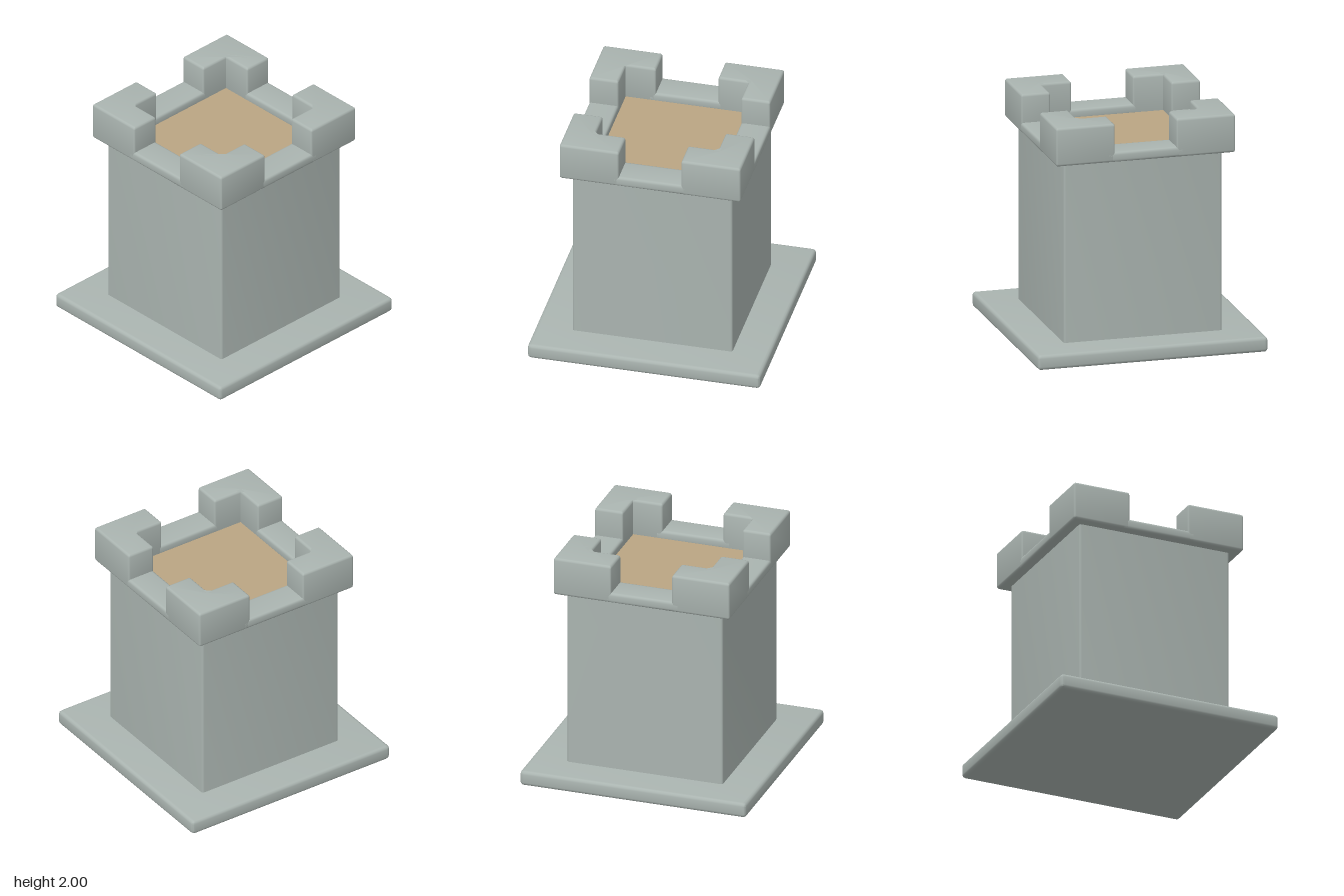
import * as THREE from 'three';
import { toCreasedNormals } from 'three/addons/utils/BufferGeometryUtils.js';

const stone = new THREE.MeshStandardMaterial({ color: 0xaab4b0 });
const sand = new THREE.MeshStandardMaterial({ color: 0xbaa583 });

// Closed outline whose convex corners are rounded by r; points run counter-clockwise
function roundedOutline(points, r) {
  const out = [];
  const n = points.length;
  points.forEach(([x, y], i) => {
    const p = new THREE.Vector2(x, y);
    const a = new THREE.Vector2(...points[(i + n - 1) % n]).sub(p).normalize();
    const b = new THREE.Vector2(...points[(i + 1) % n]).sub(p).normalize();
    if (a.cross(b) > 0) { out.push(p); return; } // inner corner stays sharp
    const start = p.clone().addScaledVector(a, r);
    const end = p.clone().addScaledVector(b, r);
    out.push(...new THREE.QuadraticBezierCurve(start, p, end).getPoints(3));
  });
  return new THREE.Shape(out);
}

// Upright block with a plan outline and rounded top and bottom edges
function block(name, points, y0, y1, corner, bevel) {
  const geometry = new THREE.ExtrudeGeometry(roundedOutline(points, corner), {
    depth: y1 - y0 - 2 * bevel, bevelEnabled: bevel > 0, bevelThickness: bevel,
    bevelSize: bevel, bevelOffset: -bevel, bevelSegments: 3,
  });
  geometry.translate(0, 0, bevel);
  geometry.rotateX(-Math.PI / 2);
  geometry.translate(0, y0, 0);
  const mesh = new THREE.Mesh(toCreasedNormals(geometry, 0.62), stone);
  mesh.name = name;
  return mesh;
}

const rect = (x0, y0, x1, y1) => [[x0, y0], [x1, y0], [x1, y1], [x0, y1]];
const square = (h) => rect(-h, -h, h, h);

export function createModel() {
  const model = new THREE.Group();
  model.name = 'castleTower';

  // Ground slab and shaft
  model.add(block('base', square(0.986), 0, 0.127, 0.035, 0.028));
  model.add(block('towerShaft', square(0.678), 0.1, 1.685, 0.02, 0));

  // Parapet: L-shaped corner blocks joined by low sills
  const outer = 0.768, inner = 0.52, gap = 0.264;
  const bottom = 1.67, sillTop = 1.757, top = 2;
  const corner = [[gap, inner], [inner, inner], [inner, gap],
    [outer, gap], [outer, outer], [gap, outer]];
  const parapet = new THREE.Group();
  parapet.name = 'parapet';
  for (let i = 0; i < 4; i++) {
    const side = new THREE.Group();
    side.name = 'parapetSide';
    side.add(block('cornerMerlon', corner, bottom, top, 0.02, 0.022));

    // Sill profile swept across the gap, its ends hidden in the corner blocks
    const length = 2 * gap + 0.1;
    const sill = new THREE.ExtrudeGeometry(
      roundedOutline(rect(inner, bottom, outer, sillTop), 0.025),
      { depth: length, bevelEnabled: false });
    sill.translate(0, 0, -length / 2);
    const sillMesh = new THREE.Mesh(toCreasedNormals(sill, 0.62), stone);
    sillMesh.name = 'sill';
    side.add(sillMesh);

    side.rotation.y = i * Math.PI / 2;
    parapet.add(side);
  }
  model.add(parapet);

  // Sandy floor inside the parapet
  const floor = new THREE.Mesh(new THREE.BoxGeometry(1.1, 0.02, 1.1), sand);
  floor.name = 'roofFloor';
  floor.position.y = 1.68;
  model.add(floor);

  return model;
}
